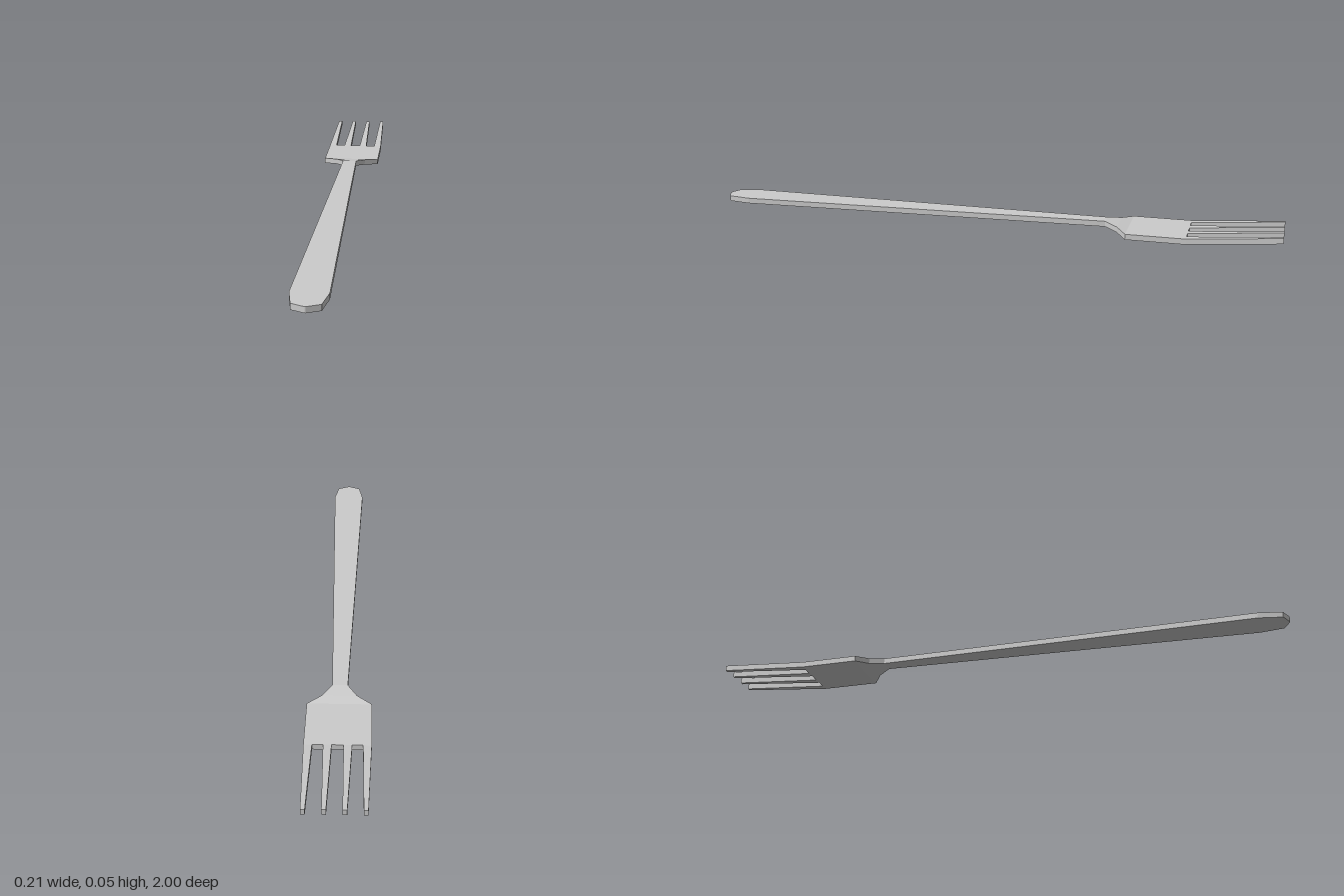
import * as THREE from 'three';

const THICKNESS = 0.019;

// Lofts a flat bar through rows of [z, xMin, xMax, yBottom], running from front to back
function bar(rows) {
  const pos = [];
  const quad = (a, b, c, d) => pos.push(...a, ...b, ...c, ...a, ...c, ...d);
  // corners seen from the front, counter-clockwise
  const rings = rows.map(([z, l, r, y]) => [
    [l, y, z], [r, y, z], [r, y + THICKNESS, z], [l, y + THICKNESS, z],
  ]);
  for (let i = 0; i < rings.length - 1; i++) {
    const f = rings[i], b = rings[i + 1];
    for (let k = 0; k < 4; k++) {
      const n = (k + 1) % 4;
      quad(f[k], b[k], b[n], f[n]);
    }
  }
  quad(...rings[0]);
  quad(...rings[rings.length - 1].slice().reverse());
  const geo = new THREE.BufferGeometry();
  geo.setAttribute('position', new THREE.Float32BufferAttribute(pos, 3));
  geo.computeVertexNormals();
  return geo;
}

export function createModel() {
  const group = new THREE.Group();
  const material = new THREE.MeshStandardMaterial({ color: 0xcccccc, flatShading: true });
  const add = (name, rows) => {
    const mesh = new THREE.Mesh(bar(rows), material);
    mesh.name = name;
    group.add(mesh);
  };
  const symmetric = (rows) => rows.map(([z, w, y]) => [z, -w, w, y]);

  // Handle: pointed end, widest near the front, rising gently to the neck
  add('handle', symmetric([
    [1, 0.001, 0], [0.98, 0.043, 0], [0.9, 0.057, 0.001], [-0.41, 0.025, 0.014],
  ]));

  // Head: flared shoulders dropping from the neck to a flat plate
  add('head', symmetric([
    [-0.41, 0.025, 0.014], [-0.455, 0.055, 0.007], [-0.49, 0.103, 0], [-0.69, 0.103, 0.001],
  ]));

  // Four tapered tines sweeping upwards, mirrored in pairs
  const tines = [['Outer', 0.077, 0.103, 0.082, 0.095], ['Inner', 0.018, 0.044, 0.023, 0.036]];
  for (const [name, a, b, c, d] of tines) {
    add(`left${name}Tine`, [[-0.69, a, b, 0.001], [-1, c, d, 0.028]]);
    add(`right${name}Tine`, [[-0.69, -b, -a, 0.001], [-1, -d, -c, 0.028]]);
  }
  return group;
}
